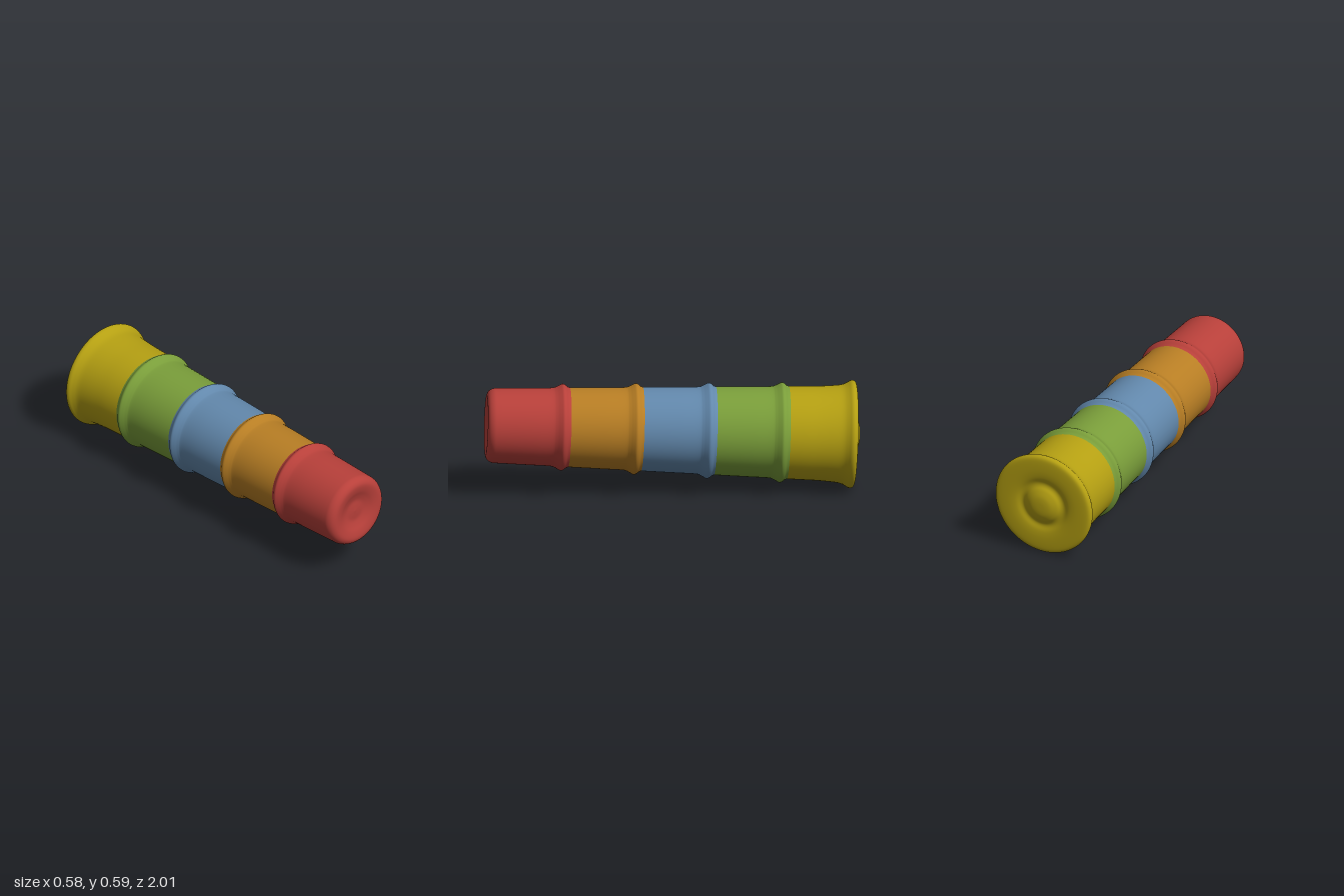
import * as THREE from 'three';

const V = (r, z) => new THREE.Vector2(r, z);
// gentle taper of the cup walls, narrow at the front
const wall = z => 0.2 + 0.0305 * (0.95 - z);

// Lathe a profile (back to front) along z, then lean it onto the tilted axis
function turned(name, color, profile) {
  const pts = new THREE.SplineCurve(profile).getPoints(profile.length * 4)
    .map(p => V(Math.max(0, p.x), p.y));
  const g = new THREE.LatheGeometry(pts, 72).rotateX(Math.PI / 2);
  const pos = g.attributes.position;
  for (let i = 0; i < pos.count; i++) {
    const x = pos.getX(i), y = pos.getY(i), z = pos.getZ(i);
    const t = (0.95 - z) / 1.9;
    pos.setXYZ(i, x - 0.065 * (1 - t), y + 0.37 - 0.08 * t, z + 0.034 * x - 0.04 * y);
  }
  const mesh = new THREE.Mesh(g, new THREE.MeshStandardMaterial({ color, side: THREE.DoubleSide }));
  mesh.name = name;
  return mesh;
}

// Small swollen lip: offset along z from its peak, extra radius
const lip = [[-0.04, 0], [-0.027, 0.006], [-0.013, 0.017], [0, 0.021], [0.016, 0.014], [0.035, 0.005], [0.06, 0]];

export function createModel() {
  const group = new THREE.Group();
  group.name = 'stackedCups';
  const names = ['redCup', 'orangeCup', 'blueCup', 'greenCup', 'yellowCup'];
  const colors = [0xb8403a, 0xb87e24, 0x6288ac, 0x7a9e3a, 0xb5a012];
  const peaks = [0.595, 0.205, -0.185, -0.575];

  // dished front end with rounded edge
  const frontEnd = [V(wall(0.94), 0.94), V(0.198, 0.965), V(0.187, 0.985), V(0.17, 0.996),
    V(0.15, 0.998), V(0.12, 0.992), V(0.09, 0.981), V(0.06, 0.973), V(0.03, 0.974), V(0, 0.976)];
  // closed back end: raised button, groove, flat ring and flared rim
  const backEnd = [V(0, -1), V(0.03, -0.999), V(0.06, -0.994), V(0.09, -0.981), V(0.11, -0.967),
    V(0.13, -0.964), V(0.16, -0.973), V(0.2, -0.977), V(0.25, -0.976), V(0.277, -0.971),
    V(0.288, -0.958), V(0.287, -0.943), V(0.276, -0.925), V(0.265, -0.9), V(0.259, -0.86)];

  names.forEach((name, i) => {
    const profile = i < 4
      ? lip.map(([dz, dr]) => V(wall(peaks[i] + dz) + dr, peaks[i] + dz))
      : [...backEnd];
    // straight wall up to the lip of the cup in front
    const zEnd = i ? peaks[i - 1] - 0.04 : 0.9;
    const zStart = profile[profile.length - 1].y;
    for (const k of [0.33, 0.67, 1]) {
      const z = zStart + (zEnd - zStart) * k;
      profile.push(V(wall(z), z));
    }
    if (i === 0) profile.push(...frontEnd);
    group.add(turned(name, colors[i], profile));
  });
  return group;
}
